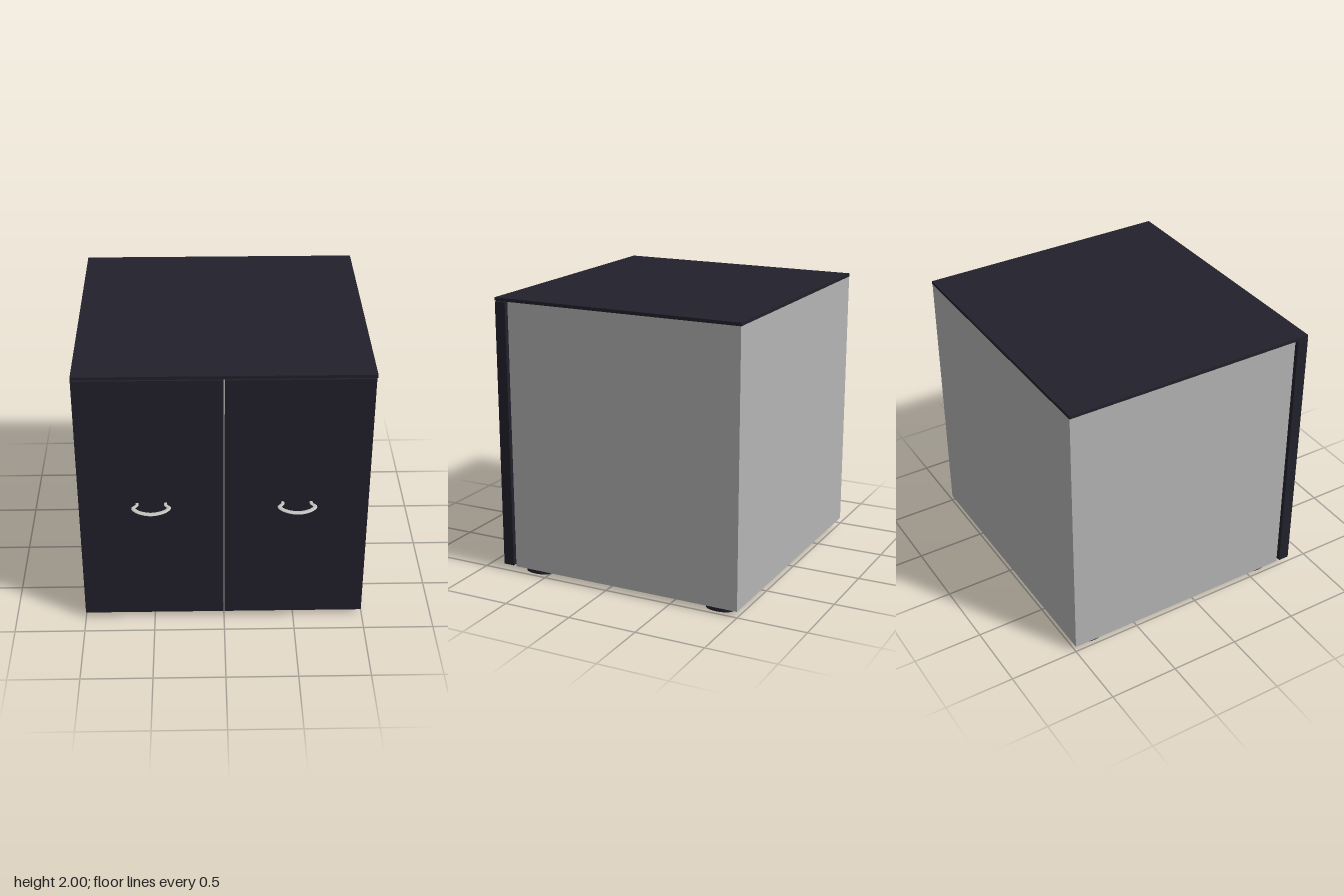
import * as THREE from 'three';

export function createModel() {
  const model = new THREE.Group();
  model.name = 'cabinet';

  const material = (name, color) => {
    const m = new THREE.MeshStandardMaterial({ color });
    m.name = name;
    return m;
  };
  const navy = material('darkNavy', 0x22212c);
  const grey = material('bodyGrey', 0xb4b4b4);
  const metal = material('handleMetal', 0xc4c3be);

  const add = (name, geometry, mat, x = 0, y = 0, z = 0) => {
    const mesh = new THREE.Mesh(geometry, mat);
    mesh.name = name;
    mesh.position.set(x, y, z);
    model.add(mesh);
    return mesh;
  };

  // Box given by its lower and upper corners
  const block = (name, mat, [x0, y0, z0], [x1, y1, z1]) =>
    add(name, new THREE.BoxGeometry(x1 - x0, y1 - y0, z1 - z0), mat,
      (x0 + x1) / 2, (y0 + y1) / 2, (z0 + z1) / 2);

  // Carcass, overhanging top and the two doors standing just off the body
  block('body', grey, [-0.998, 0.042, -0.998], [0.998, 1.977, 0.742]);
  block('top', navy, [-1, 1.977, -1], [1, 2, 0.845]);
  block('rightDoor', navy, [-1, 0.042, 0.767], [-0.005, 1.97, 0.847]);
  block('leftDoor', navy, [0.005, 0.042, 0.767], [0.994, 1.97, 0.847]);

  // Handle: a bowed bar, flattened in height and thicker at the middle
  const path = new THREE.CatmullRomCurve3([
    [-0.098, 0.84], [-0.099, 0.872], [-0.122, 0.905], [-0.09, 0.95],
    [0, 0.98],
    [0.09, 0.95], [0.122, 0.905], [0.099, 0.872], [0.098, 0.84],
  ].map(([x, z]) => new THREE.Vector3(x, 0, z)));
  const steps = 40, sides = 12;
  const handle = new THREE.TubeGeometry(path, steps, 1, sides);
  const pos = handle.attributes.position;
  const p = new THREE.Vector3();
  for (let i = 0; i < pos.count; i++) {
    const t = Math.floor(i / (sides + 1)) / steps;
    const centre = path.getPointAt(t);
    const radius = 0.01 + 0.01 * Math.sin(Math.PI * t);
    p.fromBufferAttribute(pos, i).sub(centre).multiplyScalar(radius);
    p.y *= 0.005 / radius;
    p.add(centre);
    pos.setXYZ(i, p.x, p.y, p.z);
  }
  handle.computeVertexNormals();

  // Oval feet
  const foot = new THREE.CylinderGeometry(1, 1, 0.042, 32);
  foot.scale(0.055, 1, 0.1);

  for (const side of [-1, 1]) {
    const label = side > 0 ? 'left' : 'right';
    add(label + 'Handle', handle, metal, side * 0.5, 1.004, 0);
    add(label + 'FrontFoot', foot, navy, side * 0.912, 0.021, 0.6);
    add(label + 'BackFoot', foot, navy, side * 0.912, 0.021, -0.833);
  }

  return model;
}
